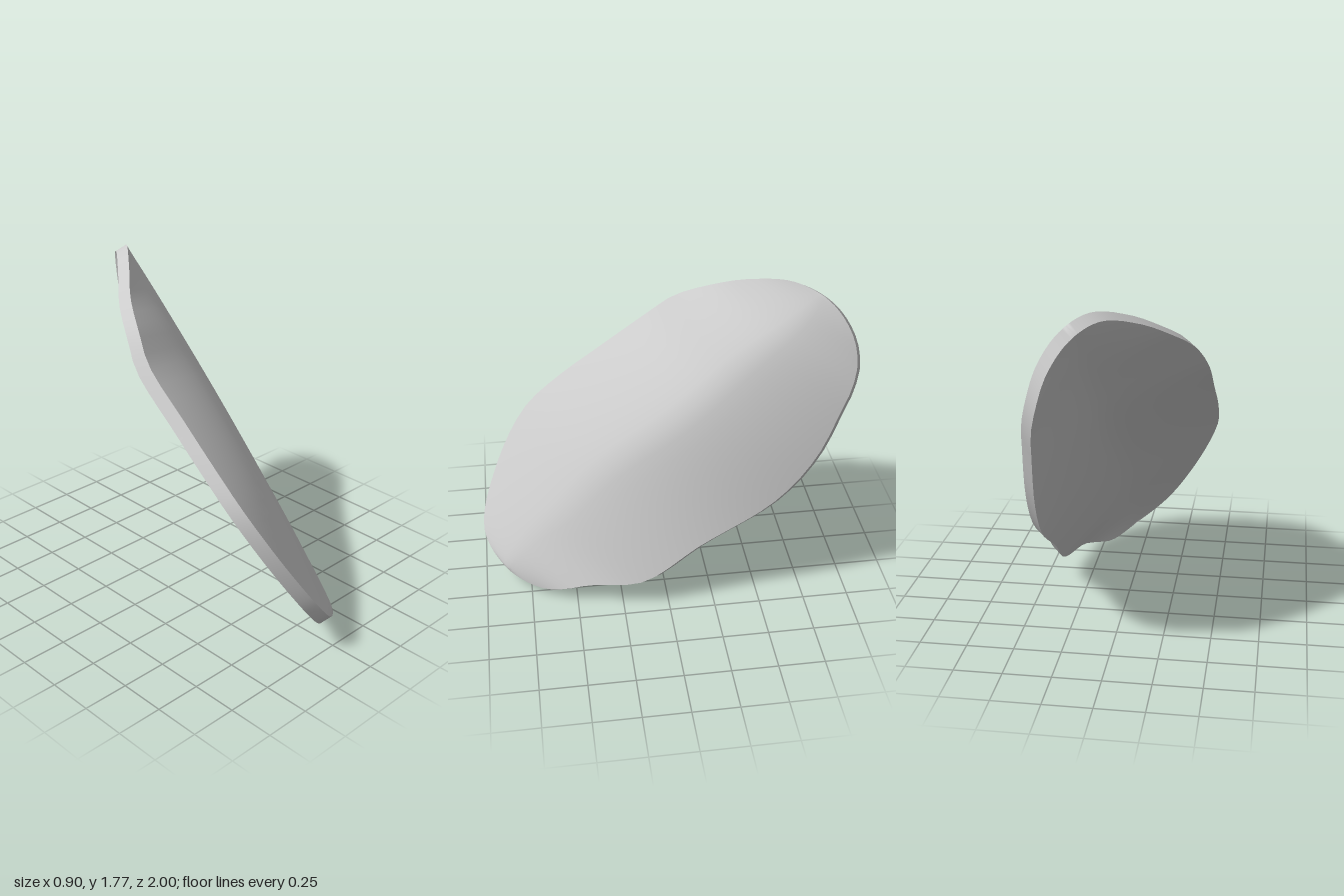
import * as THREE from 'three';
import { mergeVertices, toCreasedNormals } from 'three/addons/utils/BufferGeometryUtils.js';

// Closed rim: from the lower front tip up the lower edge, and back down the upper edge
const rim = new THREE.CatmullRomCurve3([
  [0.1, 0.07, 0.87], [0.23, 0.018, 0.7], [0.31, 0.055, 0.57], [0.358, 0.11, 0.41], [0.418, 0.15, 0.13],
  [0.405, 0.365, -0.19], [0.395, 0.615, -0.585], [0.38, 0.86, -0.79], [0.36, 1.15, -0.915], [0.35, 1.27, -0.96],
  [0.32, 1.4, -0.985], [0.275, 1.55, -0.955], [0.19, 1.685, -0.86],
  [0.07, 1.75, -0.7], [-0.09, 1.7, -0.5], [-0.23, 1.61, -0.33], [-0.34, 1.5, -0.14], [-0.395, 1.38, -0.01],
  [-0.415, 1.16, 0.28], [-0.425, 1.0, 0.49], [-0.41, 0.81, 0.7], [-0.28, 0.5, 0.89], [-0.09, 0.21, 0.98],
].map((p) => new THREE.Vector3(...p)), true, 'centripetal');

const outward = new THREE.Vector3(0.74, 0.5, 0.45).normalize();
const ROWS = 48, COLS = 24, HALF = 0.035;
const ease = (k) => (1 - Math.cos(Math.PI * k)) / 2; // packs samples near the rim
const ridge = (s) => 1 - Math.pow(Math.abs(2 * s - 1), 1.4); // flat flanks, rounded crest

// Closed cross-sections: along the outer face, then back along the inner face
function shellGeometry() {
  const side = COLS + 1, ring = side * 2;
  const positions = [], index = [];
  const lowTip = rim.getPointAt(0), highTip = rim.getPointAt(0.5);
  for (let i = 0; i <= ROWS; i++) {
    const t = ease(i / ROWS);
    const a = rim.getPointAt(1 - t / 2), b = rim.getPointAt(t / 2);
    // the crest runs almost straight from tip to tip
    const crest = lowTip.clone().lerp(highTip, t).sub(a.clone().lerp(b, 0.5));
    const arch = crest.dot(outward) + 0.16 * t * (1 - t);
    for (let j = 0; j < ring; j++) {
      const outer = j < side;
      const s = ease((outer ? j : ring - 1 - j) / COLS);
      const lift = arch * ridge(s) * (outer ? 1 : 0.7) + (outer ? HALF : -HALF);
      const p = a.clone().lerp(b, s).addScaledVector(outward, lift);
      positions.push(p.x, Math.max(0, p.y), p.z);
    }
  }
  for (let i = 0; i < ROWS; i++) {
    for (let j = 0; j < ring; j++) {
      const k = (j + 1) % ring;
      const p = i * ring + j, q = i * ring + k;
      const edge = j % side === COLS;
      // the end rows close to a point, so the faces need one triangle per cell there
      if (i > 0 || edge) index.push(p, q, p + ring);
      if (i < ROWS - 1 || edge) index.push(q, q + ring, p + ring);
    }
  }
  const geo = new THREE.BufferGeometry();
  geo.setAttribute('position', new THREE.Float32BufferAttribute(positions, 3));
  geo.setIndex(index);
  return toCreasedNormals(mergeVertices(geo, 1e-5), 0.7);
}

export function createModel() {
  const group = new THREE.Group();
  group.name = 'curvedShell';
  const paleGrey = new THREE.MeshStandardMaterial({ color: 0xcccccc });
  paleGrey.name = 'paleGrey';
  const shell = new THREE.Mesh(shellGeometry(), paleGrey);
  shell.name = 'shell';
  group.add(shell);
  return group;
}
